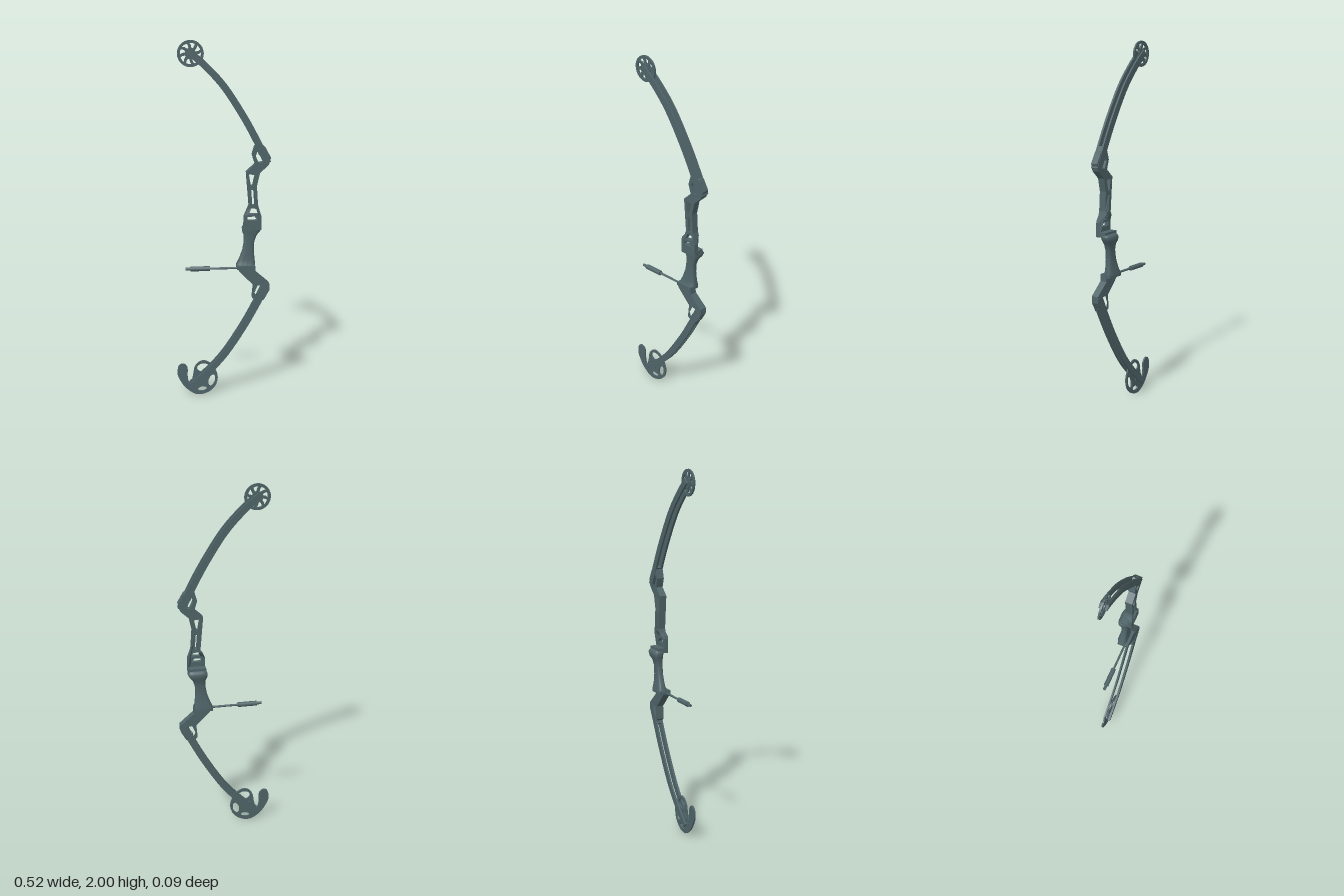
import * as THREE from 'three';

const material = new THREE.MeshStandardMaterial({ color: 0x4f6468 });
const MID = 0.015; // depth of the limb and wheel plane

function add(parent, name, geometry) {
  const mesh = new THREE.Mesh(geometry, material);
  mesh.name = name;
  parent.add(mesh);
  return mesh;
}
const vecs = pts => pts.map(p => new THREE.Vector2(p[0], p[1]));
const flip = pts => pts.map(([x, y]) => [x, 2 - y]);

// Plate cut from an outline with holes, between two depths
function plate(outline, holes, z0, z1) {
  const shape = new THREE.Shape(vecs(outline));
  shape.holes = holes.map(h => new THREE.Path(vecs(h)));
  const g = new THREE.ExtrudeGeometry(shape, { depth: z1 - z0, bevelEnabled: false });
  return g.translate(0, 0, z0);
}
function ellipse(x, y, rx, ry, turn = 0) {
  return new THREE.EllipseCurve(x, y, rx, ry, 0, Math.PI * 2, false, turn).getPoints(28).slice(0, 28).map(p => [p.x, p.y]);
}
function smooth(pts, n) {
  const c = new THREE.CatmullRomCurve3(pts.map(([x, y]) => new THREE.Vector3(x, y, 0)), true);
  return c.getPoints(n).slice(0, n).map(p => [p.x, p.y]);
}

// Curved bar following a path from a start fraction, half-width tapering from a to b
function bar(path, a, b, start = 0) {
  const c = new THREE.SplineCurve(vecs(path));
  const left = [], right = [], n = 24;
  for (let i = 0; i <= n; i++) {
    const t = start + (1 - start) * i / n, p = c.getPoint(t), d = c.getTangent(t), w = a + (b - a) * t;
    left.push([p.x - d.y * w, p.y + d.x * w]);
    right.unshift([p.x + d.y * w, p.y - d.x * w]);
  }
  return left.concat(right);
}

// Cylinder along an axis 'x' or 'z'
function rod(axis, r, len, x, y, z) {
  const g = new THREE.CylinderGeometry(r, r, len, 16);
  if (axis === 'x') g.rotateZ(Math.PI / 2); else g.rotateX(Math.PI / 2);
  return g.translate(x, y, z);
}
function box(x0, x1, y0, y1, z0, z1) {
  return new THREE.BoxGeometry(x1 - x0, y1 - y0, z1 - z0).translate((x0 + x1) / 2, (y0 + y1) / 2, (z0 + z1) / 2);
}

function makeLimb(name, mirrored) {
  const limb = new THREE.Group();
  limb.name = name;
  const place = mirrored ? flip : p => p;
  const path = place([[-0.182, 1.94], [-0.1, 1.87], [0.003, 1.757], [0.108, 1.595], [0.184, 1.455], [0.237, 1.345]]);
  const outline = bar(path, 0.017, 0.02);
  add(limb, 'backLimbPlate', plate(outline, [], -0.007, 0.003));
  add(limb, 'frontLimbPlate', plate(outline, [], 0.024, 0.036));
  // Solid root where the two plates join
  add(limb, 'limbRoot', plate(bar(path, 0.017, 0.02, 0.8), [], 0.003, 0.024));
  const bolt = add(limb, 'limbBolt', new THREE.CylinderGeometry(0.011, 0.011, 0.05, 16));
  bolt.position.set(0.208, mirrored ? 0.59 : 1.41, MID);
  bolt.rotation.z = mirrored ? -2.1 : -1.04;
  return limb;
}

function makeWheel() {
  const wheel = new THREE.Group();
  wheel.name = 'upperWheel';
  const z0 = 0.011, z1 = 0.02;
  add(wheel, 'wheelRim', plate(ellipse(0, 0, 0.07, 0.07), [ellipse(0, 0, 0.055, 0.055)], z0, z1));
  add(wheel, 'wheelHub', plate(ellipse(0, 0, 0.029, 0.029), [], z0 - 0.003, z1 + 0.003));
  for (let i = 0; i < 8; i++) {
    const spoke = add(wheel, 'wheelSpoke', plate([[0.02, -0.008], [0.045, -0.002], [0.06, 0.01], [0.058, 0.024], [0.042, 0.013], [0.02, 0.008]], [], z0 + 0.001, z1 - 0.001));
    spoke.rotation.z = i * Math.PI / 4;
  }
  add(wheel, 'upperAxle', rod('z', 0.009, 0.046, 0, 0, MID));
  wheel.position.set(-0.172, 1.93, 0);
  return wheel;
}

function makeCam() {
  const cam = new THREE.Group();
  cam.name = 'lowerCam';
  // Hooked outline with a deep slot between the hook and the round body
  const outline = smooth([[-0.26, 0.13], [-0.25, 0.182], [-0.225, 0.19], [-0.204, 0.168], [-0.203, 0.12], [-0.196, 0.08],
    [-0.184, 0.07], [-0.176, 0.1], [-0.17, 0.13], [-0.163, 0.168], [-0.14, 0.198], [-0.11, 0.207], [-0.07, 0.188],
    [-0.042, 0.145], [-0.032, 0.1], [-0.047, 0.05], [-0.09, 0.012], [-0.15, 0.002], [-0.21, 0.04], [-0.248, 0.095]], 90);
  add(cam, 'camPlate', plate(outline, [ellipse(-0.112, 0.163, 0.037, 0.027),
    ellipse(-0.066, 0.085, 0.036, 0.018, 1.3), ellipse(-0.12, 0.035, 0.026, 0.013, 0.15)], 0.013, 0.022));
  add(cam, 'camHub', rod('z', 0.03, 0.017, -0.145, 0.09, MID));
  add(cam, 'lowerAxle', rod('z', 0.009, 0.046, -0.165, 0.075, MID));
  return cam;
}

function makeRiser() {
  const riser = new THREE.Group();
  riser.name = 'riser';
  const pocket = [[0.243, 1.335], [0.255, 1.376], [0.224, 1.43], [0.196, 1.455], [0.166, 1.436], [0.153, 1.39], [0.169, 1.339]];
  const pocketHole = [[0.181, 1.41], [0.172, 1.385], [0.19, 1.346], [0.216, 1.35]];
  // Upper half with its cut-out windows; the back is recessed low down for the arrow shelf
  const upper = plate([...pocket, [0.122, 1.296], [0.138, 1.11], [0.13, 1.09], [0.117, 1.07], [0.111, 1.055], [0.111, 0.975],
    [0.206, 0.975], [0.206, 1.053], [0.2, 1.07], [0.194, 1.09], [0.187, 1.115], [0.18, 1.22], [0.196, 1.292]],
  [pocketHole,
    [[0.136, 1.285], [0.172, 1.282], [0.158, 1.222], [0.148, 1.218]],
    [[0.149, 1.2], [0.163, 1.198], [0.17, 1.11], [0.156, 1.112]],
    [[0.15, 1.097], [0.178, 1.093], [0.187, 1.065], [0.138, 1.065]],
    [[0.13, 1.05], [0.168, 1.052], [0.187, 1.03], [0.13, 1.03]]], -0.005, 0.035);
  const p = upper.attributes.position;
  for (let i = 0; i < p.count; i++) {
    if (p.getY(i) < 1.08) p.setZ(i, p.getZ(i) < 0 ? 0.017 : 0.041);
  }
  upper.computeVertexNormals();
  add(riser, 'upperRiser', upper);
  // Lower half, reaching from the grip to the lower pocket
  add(riser, 'lowerRiser', plate([[0.074, 0.765], [0.175, 0.765], [0.178, 0.728], [0.254, 0.661], [0.254, 0.624],
    [0.224, 0.57], [0.19, 0.556], [0.159, 0.582], [0.166, 0.656], [0.088, 0.735]],
  [flip(pocketHole)], -0.005, 0.036));
  // Ledges above and below the grip
  add(riser, 'arrowShelf', box(0.11, 0.207, 0.978, 1.004, -0.022, 0.03));
  add(riser, 'gripFoot', box(0.074, 0.175, 0.747, 0.768, -0.026, 0.036));
  return riser;
}

// Hand grip: rounded cross-sections given as [y, x0, x1, z0, z1]
function makeGrip() {
  const rows = [[0.755, 0.072, 0.178, -0.034, 0.03], [0.772, 0.074, 0.178, -0.034, 0.02], [0.80, 0.088, 0.174, -0.028, 0.016],
    [0.85, 0.106, 0.17, -0.024, 0.013], [0.90, 0.114, 0.172, -0.024, 0.013], [0.935, 0.113, 0.185, -0.031, 0.014],
    [0.955, 0.105, 0.202, -0.042, 0.016], [0.975, 0.103, 0.212, -0.044, 0.018], [0.986, 0.108, 0.208, -0.038, 0.02], [0.992, 0.114, 0.204, -0.025, 0.02]];
  const n = rows.length - 1;
  const g = new THREE.CylinderGeometry(1, 1, 1, 28, n);
  const p = g.attributes.position;
  const squash = v => Math.sign(v) * Math.pow(Math.abs(v), 0.6);
  for (let i = 0; i < p.count; i++) {
    const [y, x0, x1, z0, z1] = rows[Math.round((p.getY(i) + 0.5) * n)];
    p.setXYZ(i, (x0 + x1) / 2 + squash(p.getX(i)) * (x1 - x0) / 2, y, (z0 + z1) / 2 + squash(p.getZ(i)) * (z1 - z0) / 2);
  }
  g.computeVertexNormals();
  return g;
}

function makeCableRod() {
  const group = new THREE.Group();
  group.name = 'cableRod';
  add(group, 'rodShaft', rod('x', 0.006, 0.19, 0.01, 0.752, MID));
  add(group, 'rodWeight', rod('x', 0.0135, 0.106, -0.127, 0.752, MID));
  add(group, 'rodTip', rod('x', 0.008, 0.03, -0.194, 0.752, MID));
  return group;
}

export function createModel() {
  const bow = new THREE.Group();
  bow.name = 'compoundBow';
  bow.add(makeLimb('upperLimb', false), makeLimb('lowerLimb', true));
  bow.add(makeWheel(), makeCam(), makeRiser(), makeCableRod());
  add(bow, 'grip', makeGrip());
  return bow;
}
